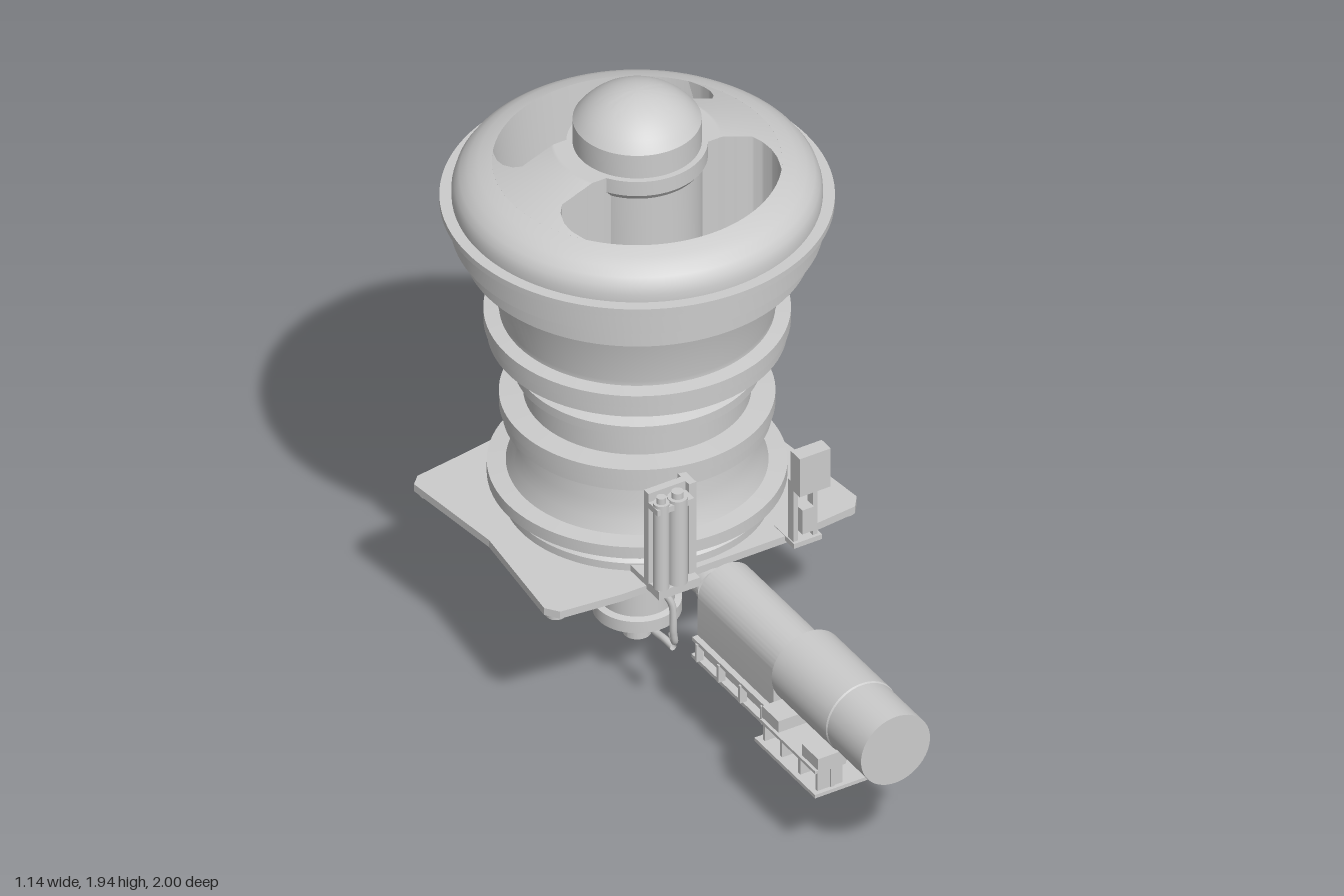
import * as THREE from 'three';
import { toCreasedNormals } from 'three/addons/utils/BufferGeometryUtils.js';
import { ParametricGeometry } from 'three/addons/geometries/ParametricGeometry.js';

const AXIS_Z = -0.43; // vertical machine axis

export function createModel() {
  const model = new THREE.Group();
  const mat = new THREE.MeshStandardMaterial({ color: 0xcccccc });
  const thin = new THREE.MeshStandardMaterial({ color: 0xcccccc, side: THREE.DoubleSide });

  const add = (name, geo, x = 0, y = 0, z = 0, m = mat) => {
    const mesh = new THREE.Mesh(geo, m);
    mesh.name = name;
    mesh.position.set(x, y, z);
    model.add(mesh);
    return mesh;
  };
  // Box given by its limits on each axis
  const box = (name, x0, x1, y0, y1, z0, z1) =>
    add(name, new THREE.BoxGeometry(x1 - x0, y1 - y0, z1 - z0), (x0 + x1) / 2, (y0 + y1) / 2, (z0 + z1) / 2);
  // Revolved part, profile of [radius, height] running upwards on the outside
  const lathe = (name, pts, m = mat, seg = 96) =>
    add(name, toCreasedNormals(new THREE.LatheGeometry(pts.map(p => new THREE.Vector2(...p)), seg), 0.4), 0, 0, AXIS_Z, m);
  // Revolved part lying along z, profile of [radius, z]
  const latheZ = (name, pts, x, y) => {
    const mesh = add(name, toCreasedNormals(new THREE.LatheGeometry(pts.map(p => new THREE.Vector2(...p)), 48), 0.4), x, y, 0);
    mesh.rotation.x = Math.PI / 2;
    return mesh;
  };
  const post = (name, r, x, y0, y1, z) => add(name, new THREE.CylinderGeometry(r, r, y1 - y0, 20), x, (y0 + y1) / 2, z);
  const pipe = (name, r, pts) =>
    add(name, new THREE.TubeGeometry(new THREE.CatmullRomCurve3(pts.map(p => new THREE.Vector3(...p))), 32, r, 10), 0, 0, 0, thin);

  // Lower frame: skirt, flared wall, flanges and neck
  lathe('lowerFrame', [
    [0.2, 0.5], [0.39, 0.5], [0.39, 0.535], [0.38, 0.545], [0.38, 0.585], [0.435, 0.585], [0.435, 0.625], [0.38, 0.63],
    [0.365, 0.67], [0.355, 0.72], [0.35, 0.795], [0.39, 0.795], [0.39, 0.83], [0.4, 0.835],
    [0.4, 0.875], [0.33, 0.88], [0.33, 0.96], [0.36, 0.97], [0.36, 1.0], [0.32, 1.015],
  ]);
  // Upper frame: flared shell, middle flange and bowl
  lathe('upperFrame', [
    [0.32, 1.0], [0.32, 1.02], [0.39, 1.09], [0.435, 1.09], [0.435, 1.125], [0.445, 1.13], [0.445, 1.17], [0.4, 1.175], [0.4, 1.19],
    [0.455, 1.39], [0.505, 1.39], [0.505, 1.425], [0.505, 1.46], [0.54, 1.46], [0.54, 1.53],
  ]);
  // Rounded cover rim with the feed bowl inside
  lathe('coverAndBowl', [
    [0.54, 1.53], [0.555, 1.53], [0.555, 1.55], [0.572, 1.55], [0.572, 1.57], [0.537, 1.57], [0.537, 1.595],
    [0.53, 1.62], [0.515, 1.642], [0.49, 1.662], [0.46, 1.678], [0.42, 1.69], [0.4, 1.45], [0.18, 1.4],
  ], thin);

  // Two spider arms splitting the cover into crescent openings
  const edge = [[0.18, 0.64], [0.22, 0.53], [0.25, 0.455], [0.29, 0.39], [0.34, 0.33], [0.365, 0.37], [0.39, 0.45], [0.405, 0.53], [0.42, 0.66]];
  const armEdge = t => {
    const i = Math.min(Math.floor(t * 8), 7), k = t * 8 - i;
    return [0, 1].map(j => edge[i][j] + (edge[i + 1][j] - edge[i][j]) * k);
  };
  const coverY = r => r < 0.245 ? 1.76 : 1.76 - (r - 0.245) * 0.4;
  for (const s of [-1, 1]) {
    const side = s < 0 ? 'right' : 'left';
    add(side + 'SpiderArm', new ParametricGeometry((u, v, p) => {
      const [r, half] = armEdge(v), a = (2 * u - 1) * half;
      p.set(s * r * Math.cos(a), coverY(r), r * Math.sin(a));
    }, 16, 32), 0, 0, AXIS_Z, thin);
    for (const e of [-1, 1]) {
      add(side + 'ArmWall', new ParametricGeometry((u, v, p) => {
        const [r, half] = armEdge(u);
        p.set(s * r * Math.cos(half), THREE.MathUtils.lerp(coverY(r), 1.43, v), e * r * Math.sin(half));
      }, 32, 1), 0, 0, AXIS_Z, thin);
    }
  }

  // Central hub and domed cap
  const cap = [];
  for (let i = 0; i <= 10; i++) {
    const a = (1 - i / 10) * Math.asin(0.187 / 0.225);
    cap.push([0.225 * Math.sin(a), 1.715 + 0.225 * Math.cos(a)]);
  }
  lathe('hub', [[0.19, 1.4], [0.19, 1.69], [0.205, 1.71], [0.205, 1.76], [0.187, 1.76], ...cap], mat, 64);

  // Base plate with four mounting pads
  const plate = new THREE.Shape();
  [[-0.5, 0.83], [-0.53, 0.8], [-0.49, 0.45], [-0.53, 0.08], [-0.5, 0.04], [-0.3, 0.02], [0.3, 0.02], [0.5, 0.04],
    [0.53, 0.08], [0.49, 0.45], [0.53, 0.8], [0.5, 0.83], [0.36, 0.85], [0.1, 0.89], [-0.1, 0.89], [-0.36, 0.85]]
    .forEach(([x, y], i) => i ? plate.lineTo(x, y) : plate.moveTo(x, y));
  const plateGeo = new THREE.ExtrudeGeometry(plate, { depth: 0.025, bevelEnabled: false });
  plateGeo.rotateX(-Math.PI / 2);
  add('basePlate', plateGeo, 0, 0.485, 0);
  for (const x of [-0.49, 0.49]) for (const z of [-0.08, -0.78]) post('mountingPad', 0.03, x, 0.473, 0.487, z);

  // Bottom housing, cylinder and rotary joint
  lathe('bottomHousing', [
    [0, 0], [0.02, 0], [0.02, 0.015], [0.042, 0.015], [0.042, 0.08], [0.03, 0.085], [0.03, 0.1], [0.13, 0.1],
    [0.13, 0.14], [0.11, 0.145], [0.11, 0.31], [0.205, 0.31], [0.217, 0.32], [0.217, 0.485],
  ], mat, 64);
  pipe('oilLine', 0.011, [[0, 0.075, -0.4], [0, 0.075, -0.32], [0, 0.08, -0.28], [0, 0.08, -0.23]]);

  // Drive shaft housing and coupling
  latheZ('driveShaftHousing', [
    [0.07, -0.4], [0.085, -0.26], [0.07, -0.2], [0.065, -0.17], [0.052, -0.17], [0.052, -0.01], [0.058, -0.01],
    [0.058, 0], [0.045, 0], [0.045, 0.08],
  ], 0, 0.435);

  // Coupling guard with arched top, on its stand
  const arch = new THREE.Shape();
  arch.moveTo(-0.095, 0.335);
  arch.lineTo(0.095, 0.335);
  arch.lineTo(0.095, 0.46);
  arch.absarc(0, 0.46, 0.095, 0, Math.PI);
  arch.closePath();
  add('couplingGuard', toCreasedNormals(new THREE.ExtrudeGeometry(arch, { depth: 0.42, bevelEnabled: false, curveSegments: 24 }), 0.4), 0, 0, 0.06);
  box('guardBase', -0.11, 0.11, 0.258, 0.27, 0.05, 0.48);
  box('guardPedestal', -0.085, 0.085, 0.27, 0.335, 0.08, 0.46);
  for (const x of [-0.102, 0.102]) {
    box('guardLip', x - 0.012, x + 0.012, 0.325, 0.337, 0.06, 0.48);
    for (const z of [0.09, 0.21, 0.33, 0.45]) box('guardRib', x - 0.018, x + 0.006, 0.27, 0.33, z - 0.005, z + 0.005);
  }

  // Motor and its feet
  latheZ('motor', [
    [0, 0.49], [0.095, 0.49], [0.12, 0.51], [0.12, 0.81], [0.117, 0.815], [0.117, 1], [0, 1],
  ], 0, 0.468);
  box('motorBase', -0.172, 0.172, 0.258, 0.27, 0.5, 0.835);
  for (const s of [-1, 1]) {
    const span = (name, a, b, ...rest) => box(name, Math.min(s * a, s * b), Math.max(s * a, s * b), ...rest);
    span('motorRail', 0.06, 0.165, 0.335, 0.345, 0.52, 0.825);
    span('motorRailWeb', 0.1, 0.112, 0.27, 0.335, 0.52, 0.825);
    for (const z of [0.525, 0.62, 0.72, 0.815]) span('railGusset', 0.07, 0.155, 0.27, 0.335, z - 0.006, z + 0.006);
    for (const z of [0.56, 0.78]) span('motorFoot', 0.055, 0.155, 0.345, 0.385, z - 0.045, z + 0.045);
  }

  // Accumulator bank with bracket and line
  for (const [x, r] of [[-0.2, 0.024], [-0.145, 0.03]]) {
    post('accumulator', r, x, 0.53, 0.83, 0.03);
    post('accumulatorCap', r * 0.6, x, 0.5, 0.85, 0.03);
  }
  box('accumulatorBracket', -0.225, -0.075, 0.53, 0.85, -0.025, 0);
  box('bracketSide', -0.1, -0.075, 0.51, 0.85, -0.13, 0.02);
  box('bracketClamp', -0.225, -0.1, 0.8, 0.82, -0.01, 0.05);
  box('bracketFoot', -0.22, -0.08, 0.5, 0.53, -0.13, 0.05);
  pipe('accumulatorLine', 0.011, [[-0.2, 0.52, 0.03], [-0.17, 0.46, 0.04], [-0.165, 0.36, 0.04], [-0.155, 0.318, 0.03], [-0.14, 0.315, -0.01]]);

  // Control box on a two-legged post
  box('controlBox', 0.245, 0.35, 0.705, 0.84, 0.02, 0.07);
  for (const x of [0.262, 0.328]) box('controlBoxLeg', x - 0.008, x + 0.008, 0.5, 0.72, -0.01, 0.02);
  box('junctionBox', 0.275, 0.315, 0.54, 0.625, -0.005, 0.035);
  box('controlBoxFoot', 0.25, 0.345, 0.495, 0.512, -0.08, 0.03);

  return model;
}
